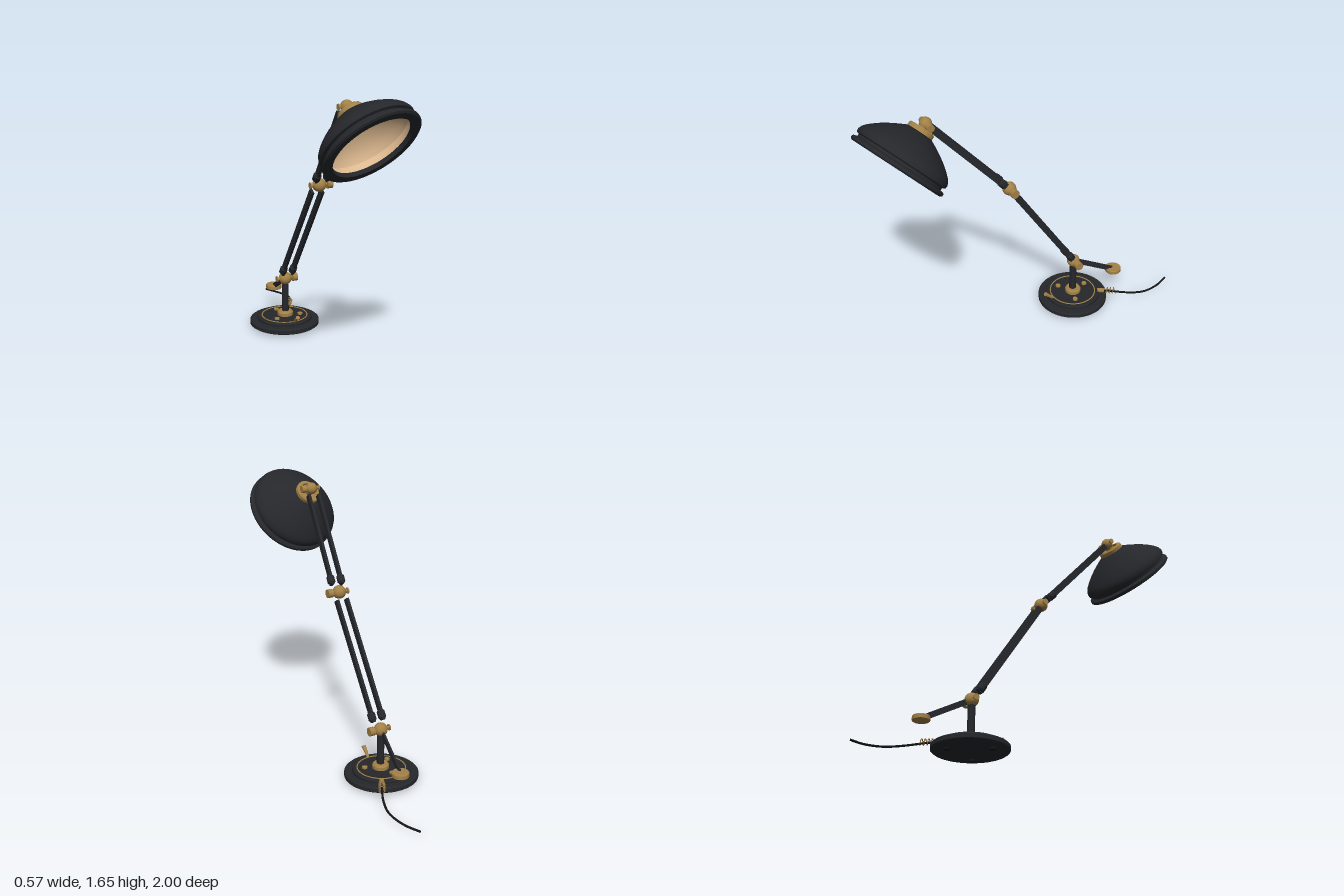
import * as THREE from 'three';
import { toCreasedNormals } from 'three/addons/utils/BufferGeometryUtils.js';

const V = (x, y, z) => new THREE.Vector3(x, y, z);
const paint = (color, side = THREE.FrontSide) => {
  const m = new THREE.MeshStandardMaterial({ side });
  m.color.set(color);
  return m;
};

export function createModel() {
  const lamp = new THREE.Group();
  lamp.name = 'deskLamp';
  const black = paint(0x25272b);
  const brass = paint(0xa38147);
  const cream = paint(0xdcb88f, THREE.DoubleSide);
  const rubber = paint(0x141516);

  const add = (parent, name, geometry, material, x = 0, y = 0, z = 0) => {
    const mesh = new THREE.Mesh(geometry, material);
    mesh.name = name;
    mesh.position.set(x, y, z);
    parent.add(mesh);
    return mesh;
  };
  const group = (name, position) => {
    const g = new THREE.Group();
    g.name = name;
    g.position.copy(position);
    lamp.add(g);
    return g;
  };
  const lathe = (pts, segments = 64) =>
    toCreasedNormals(new THREE.LatheGeometry(pts.map(p => new THREE.Vector2(...p)), segments), 0.5);
  const disc = (r, h, n = 32) => new THREE.CylinderGeometry(r, r, h, n);
  // Turns +y along a direction while keeping local x close to world x
  const aim = (object, direction) => {
    const y = direction.clone().normalize();
    const z = V(1, 0, 0).cross(y).normalize();
    const x = y.clone().cross(z);
    object.quaternion.setFromRotationMatrix(new THREE.Matrix4().makeBasis(x, y, z));
  };

  // Main pivots
  const baseCentre = V(-0.02, 0, -0.346);
  const shoulder = V(-0.015, 0.319, -0.343);
  const elbow = V(0.008, 1.038, 0.128);
  const wrist = V(-0.05, 1.574, 0.6);
  const rimCentre = V(0, 1.39, 0.8);

  // Stepped base
  const base = group('base', baseCentre);
  add(base, 'basePlate', lathe([
    [0, 0.013], [0.212, 0.013], [0.222, 0.02], [0.222, 0.043], [0.214, 0.05], [0.174, 0.05],
    [0.174, 0.064], [0.168, 0.07], [0, 0.07],
  ]), black);
  const inlay = add(base, 'baseInlayRing', new THREE.TorusGeometry(0.145, 0.004, 8, 64), brass, 0, 0.07, 0);
  inlay.rotation.x = Math.PI / 2;
  for (let i = 0; i < 3; i++) {
    const a = Math.PI / 6 + i * Math.PI * 2 / 3;
    add(base, 'foot', disc(0.02, 0.015, 20), rubber, 0.145 * Math.cos(a), 0.0075, 0.145 * Math.sin(a));
    const b = 0.36 + i * Math.PI * 2 / 3;
    add(base, 'baseScrew', disc(0.016, 0.012, 20), brass, 0.1 * Math.cos(b), 0.074, 0.1 * Math.sin(b));
  }

  // Toggle switch
  const toggle = add(base, 'toggleSwitch', new THREE.CylinderGeometry(0.013, 0.008, 0.08, 16), brass, 0.005, 0.093, 0.178);
  aim(toggle, V(0, 0.05, 0.055));

  // Post
  add(base, 'postCollar', lathe([[0.05, 0.07], [0.05, 0.09], [0.042, 0.1], [0.022, 0.1]], 40), brass, 0.005);
  add(base, 'post', disc(0.022, 0.24), black, 0.005, 0.19, 0.003);

  // Ball joint with a cross axle, thumb knob and washer
  const joint = (name, position, radius) => {
    const g = group(name, position);
    add(g, 'ball', new THREE.SphereGeometry(radius, 32, 20), brass);
    const along = (part, r, x0, x1, n) => {
      add(g, part, disc(r, x1 - x0, n), brass, (x0 + x1) / 2).rotation.z = Math.PI / 2;
    };
    const k = radius / 0.041;
    along('axle', 0.01 * k, -0.058 * k, 0.05 * k, 16);
    along('thumbKnob', 0.026 * k, 0.047 * k, 0.08 * k, 24);
    along('washer', 0.019 * k, -0.06 * k, -0.052 * k, 24);
  };
  joint('shoulderJoint', shoulder, 0.041);
  joint('elbowJoint', elbow, 0.041);
  joint('wristJoint', wrist, 0.036);

  // Paired flat rods with a sleeve near the lower end
  const arm = (name, from, to) => {
    const direction = to.clone().sub(from);
    const length = direction.length();
    const g = group(name, from);
    aim(g, direction);
    for (const side of [-1, 1]) {
      const x = side * 0.033;
      add(g, 'rod', new THREE.BoxGeometry(0.017, length - 0.1, 0.038), black, x, length / 2, 0);
      add(g, 'rodSleeve', lathe([
        [0, -0.028], [0.016, -0.028], [0.024, -0.018], [0.024, 0.018], [0.016, 0.028], [0, 0.028],
      ], 24), black, x, 0.084, 0);
    }
  };
  arm('lowerArm', shoulder, elbow);
  arm('upperArm', elbow, wrist);

  // Counterweight on a short flat bar
  const weightPos = V(0.021, 0.167, -0.63);
  const tail = weightPos.clone().sub(shoulder);
  const counter = group('counterweightArm', shoulder);
  aim(counter, tail);
  add(counter, 'counterweightBar', new THREE.BoxGeometry(0.012, tail.length() - 0.03, 0.032), black, 0, tail.length() / 2, 0);
  add(lamp, 'counterweight', lathe([
    [0, -0.015], [0.047, -0.015], [0.051, -0.011], [0.051, 0.011], [0.047, 0.015], [0, 0.015],
  ], 40), brass, ...weightPos.toArray());

  // Shade: local +y runs from the rim up to the wrist
  const shade = group('shade', rimCentre);
  aim(shade, wrist.clone().sub(rimCentre));
  add(shade, 'shadeShell', lathe([
    [0.23, 0.012], [0.237, -0.012], [0.278, -0.012], [0.289, -0.004], [0.289, 0.01], [0.282, 0.016],
    [0.264, 0.02], [0.264, 0.034], [0.28, 0.04], [0.282, 0.058], [0.274, 0.078], [0.258, 0.098],
    [0.235, 0.119], [0.205, 0.143], [0.165, 0.17], [0.12, 0.196], [0.07, 0.222], [0, 0.222],
  ], 80), black);
  add(shade, 'shadeLining', lathe([
    [0.236, 0], [0.248, 0.03], [0.25, 0.06], [0.235, 0.09], [0.2, 0.128], [0.16, 0.155],
    [0.1, 0.188], [0.05, 0.208], [0, 0.21],
  ], 80), cream);
  add(shade, 'socketPlate', disc(0.045, 0.016), brass, 0, 0.2, 0);
  add(shade, 'socketStem', disc(0.02, 0.03, 24), brass, 0, 0.185, 0);
  add(shade, 'socketTip', new THREE.SphereGeometry(0.016, 20, 14), cream, 0, 0.172, 0);
  add(shade, 'shadeCollar', lathe([
    [0.074, 0.195], [0.078, 0.202], [0.078, 0.238], [0.072, 0.246], [0.055, 0.246], [0.05, 0.234], [0, 0.234],
  ], 48), brass);
  add(shade, 'collarBoss', disc(0.026, 0.04, 24), brass, 0, 0.25, 0);

  // Cord outlet with a strain relief spring
  const out = V(0.49, 0, -0.87);
  const outlet = add(lamp, 'cordOutlet', disc(0.015, 0.04, 20), brass, 0.07, 0.068, -0.505);
  aim(outlet, out);
  const coil = [];
  for (let i = 0; i <= 64; i++) {
    const a = i / 64 * Math.PI * 8;
    coil.push(V(0.018 * Math.cos(a), i / 64 * 0.08, 0.018 * Math.sin(a)));
  }
  const spring = add(lamp, 'strainReliefSpring',
    new THREE.TubeGeometry(new THREE.CatmullRomCurve3(coil), 128, 0.003, 6), brass, 0.08, 0.068, -0.523);
  aim(spring, out);

  // Power cord
  const path = new THREE.CatmullRomCurve3([
    V(0.07, 0.068, -0.505), V(0.1, 0.062, -0.56), V(0.15, 0.045, -0.66), V(0.177, 0.028, -0.77),
    V(0.156, 0.015, -0.893), V(0.11, 0.011, -0.997),
  ]);
  add(lamp, 'powerCord', new THREE.TubeGeometry(path, 60, 0.0065, 10), rubber);

  return lamp;
}
